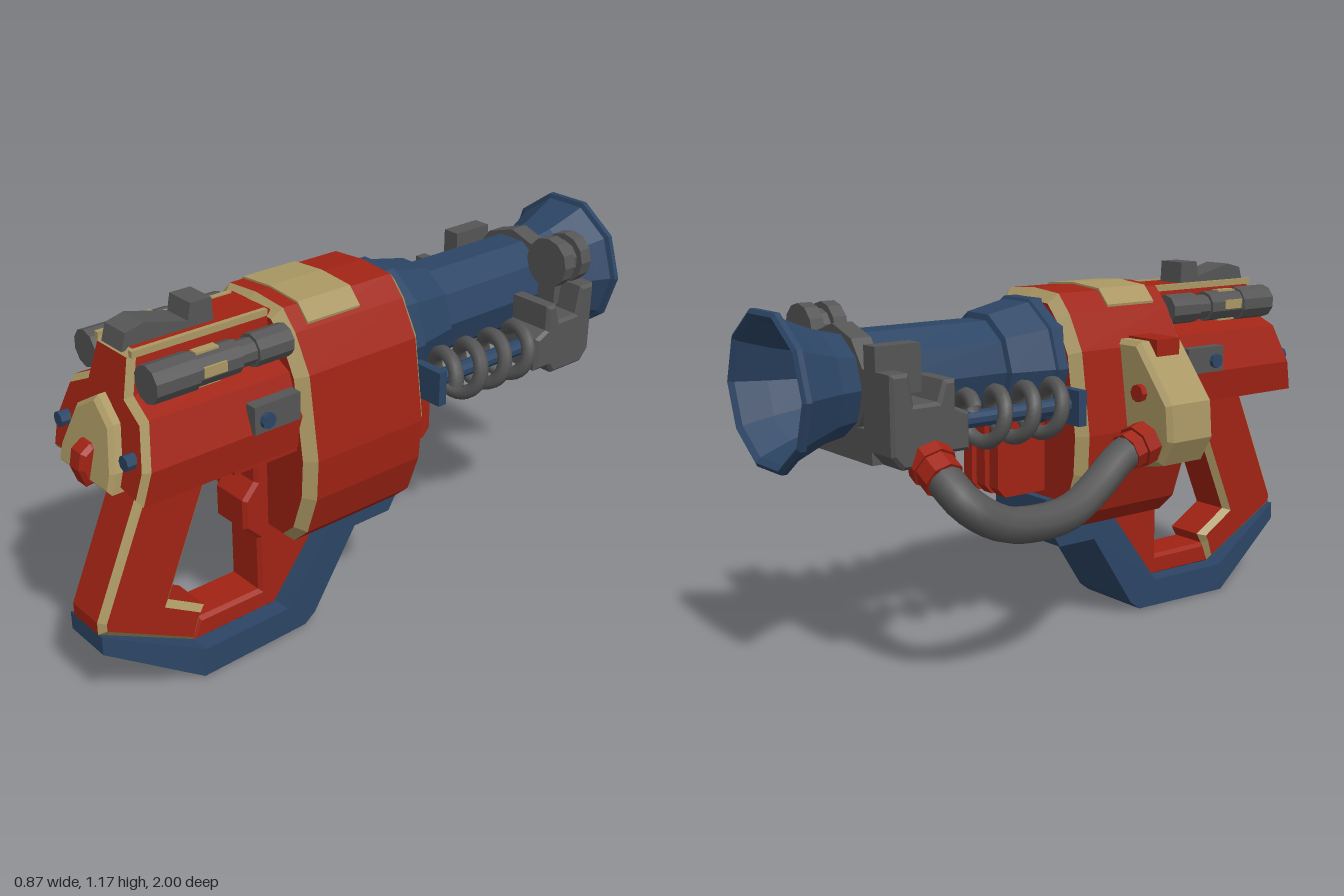
import * as THREE from 'three';

const mat = (color, flat = true) => new THREE.MeshStandardMaterial({ color, flatShading: flat, side: THREE.DoubleSide });
const RED = mat(0xa02314), BLUE = mat(0x2c4565), CREAM = mat(0xaa9763), GREY = mat(0x555555);
const SMOOTH_GREY = mat(0x555555, false);

export function createModel() {
  const model = new THREE.Group();
  model.name = 'blaster';
  // The gun is symmetric about its own middle, which sits beside the origin
  const gun = new THREE.Group();
  gun.name = 'gun';
  gun.position.x = 0.082;
  model.add(gun);

  const add = (name, geo, material, x = 0, y = 0, z = 0) => {
    const m = new THREE.Mesh(geo, material);
    m.name = name;
    m.position.set(x, y, z);
    gun.add(m);
    return m;
  };
  const box = (name, material, w, h, d, x, y, z) => add(name, new THREE.BoxGeometry(w, h, d), material, x, y, z);
  // Cylinder along z or x
  const rod = (name, material, r, len, x, y, z, axis = 'z', sides = 10) => {
    const g = new THREE.CylinderGeometry(r, r, len, sides);
    if (axis === 'z') g.rotateX(Math.PI / 2); else g.rotateZ(Math.PI / 2);
    return add(name, g, material, x, y, z);
  };
  // Extrusion centred on its depth; a bevel keeps the given outline
  const extrude = (pts, depth, bevel = 0) => {
    const shape = new THREE.Shape(pts.map(p => new THREE.Vector2(p[0], p[1])));
    const g = new THREE.ExtrudeGeometry(shape, {
      depth: depth - 2 * bevel, bevelEnabled: bevel > 0, bevelThickness: bevel,
      bevelSize: bevel, bevelOffset: -bevel, bevelSegments: 1,
    });
    return g.translate(0, 0, bevel - depth / 2);
  };
  // Profile drawn as [z, y], extruded across x
  const side = (pts, width, bevel) => extrude(pts, width, bevel).rotateY(-Math.PI / 2);
  // Half profile [x, y] mirrored to a closed outline
  const mirror = half => [...half, ...half.filter(p => p[0] > 0).reverse().map(p => [-p[0], p[1]])];
  // Extrusion whose sloping bevel faces become a cream trim
  const trimmed = (name, geo, axis, place = g => g) => {
    const p = geo.attributes.position.array, n = geo.attributes.normal.array;
    const parts = { body: [], trim: [] };
    for (let i = 0; i < p.length; i += 9) {
      const a = Math.abs(n[i + axis]);
      parts[a > 0.15 && a < 0.95 ? 'trim' : 'body'].push(...p.slice(i, i + 9));
    }
    for (const key of ['body', 'trim']) {
      const g = new THREE.BufferGeometry();
      g.setAttribute('position', new THREE.Float32BufferAttribute(parts[key], 3));
      place(g);
      g.computeVertexNormals();
      add(key === 'body' ? name : name + 'Trim', g, key === 'body' ? RED : CREAM);
    }
  };
  // Lean the rear end forward towards the top
  const leanRear = g => {
    const p = g.attributes.position;
    for (let i = 0; i < p.count; i++)
      if (p.getZ(i) > 0.6) p.setZ(i, p.getZ(i) - 0.25 * (p.getY(i) - 0.74));
    g.computeVertexNormals();
    return g;
  };

  // Main drum body with cream edge trim and top panel
  trimmed('drumBody', extrude(mirror([[0, 0.36], [0.16, 0.36], [0.225, 0.42], [0.27, 0.55], [0.278, 0.68],
    [0.24, 0.94], [0.18, 1.05], [0.125, 1.11], [0, 1.12]]), 0.47, 0.032).translate(0, 0, 0.157), 2);
  add('topPanel', extrude(mirror([[0, 1], [0.16, 1.0], [0.172, 1.068], [0.127, 1.116], [0, 1.126]]), 0.195), CREAM, 0, 0, 0.212);

  // Rear housing with ridge and shoulders
  trimmed('rearHousing', extrude(mirror([[0, 0.74], [0.225, 0.72], [0.235, 0.82], [0.19, 0.945], [0.105, 0.985],
    [0.088, 1.1], [0, 1.1]]), 0.57, 0.018).translate(0, 0, 0.645), 2, leanRear);
  box('housingFloor', RED, 0.44, 0.06, 0.23, 0, 0.735, 0.5);
  box('housingLip', CREAM, 0.2, 0.02, 0.25, 0, 0.732, 0.8);
  add('rearPlate', leanRear(extrude(mirror([[0, 0.73], [0.133, 0.73], [0.133, 0.79], [0.09, 0.91], [0, 0.965]]), 0.07, 0.012)
    .translate(0, 0, 0.93)), CREAM);
  add('rearCatch', side([[0.93, 0.72], [0.97, 0.715], [0.99, 0.77], [0.98, 0.82], [0.95, 0.84], [0.92, 0.84]], 0.07, 0.012), RED);
  add('sight', side([[0.845, 1.09], [0.83, 1.14], [0.77, 1.155], [0.69, 1.135], [0.63, 1.12], [0.62, 1.17], [0.55, 1.17], [0.545, 1.09]], 0.1), GREY);

  for (const s of [-1, 1]) {
    // Canisters on the shoulders
    const cx = s * 0.152, cy = 1.03;
    rod('canisterCap', GREY, 0.056, 0.14, cx, cy, 0.77);
    rod('canisterMiddle', GREY, 0.05, 0.15, cx, cy, 0.63);
    rod('canisterNeck', GREY, 0.04, 0.08, cx, cy, 0.53);
    rod('canisterBase', GREY, 0.05, 0.12, cx, cy, 0.44);
    box('canisterWindow', CREAM, 0.104, 0.03, 0.075, cx, cy + 0.005, 0.65);
    box('canisterWindow', CREAM, 0.03, 0.104, 0.075, cx, cy, 0.65);
    box('ridgeTrim', CREAM, 0.016, 0.02, 0.45, s * 0.084, 1.094, 0.615);
    // Side plates and bolts
    box('sidePlate', GREY, 0.04, 0.085, 0.16, s * 0.228, 0.865, 0.48);
    rod('sideBolt', BLUE, 0.024, 0.03, s * 0.247, 0.86, 0.52, 'x', 8);
    rod('rearBolt', BLUE, 0.023, 0.05, s * 0.168, 0.835, 0.91, 'z', 8);
  }

  // Grip, guard, trigger and base
  trimmed('grip', side([[0.8, 0.76], [1, 0.3], [1, 0.26], [0.68, 0.09], [0.655, 0.165], [0.635, 0.2], [0.76, 0.275],
    [0.57, 0.72], [0.57, 0.76]], 0.17, 0.02), 0);
  add('triggerGuard', side([[0.69, 0.09], [0.37, 0.09], [0.15, 0.38], [0.37, 0.4], [0.37, 0.73], [0.435, 0.73], [0.435, 0.55],
    [0.48, 0.5], [0.48, 0.4], [0.43, 0.35], [0.43, 0.165], [0.66, 0.165]], 0.15, 0.012), RED);
  add('trigger', side([[0.6, 0.72], [0.59, 0.63], [0.53, 0.58], [0.51, 0.72]], 0.06), RED);
  const base = side([[1, 0.26], [1, 0.2], [0.69, 0], [0.3, 0.01], [0.26, 0.04], [0.095, 0.295], [-0.05, 0.295], [-0.105, 0.385],
    [-0.105, 0.46], [-0.07, 0.46], [-0.07, 0.37], [0.17, 0.37], [0.37, 0.1], [0.68, 0.095]], 0.27);
  const bp = base.attributes.position;
  for (let i = 0; i < bp.count; i++) if (bp.getZ(i) > 0.9) bp.setX(i, bp.getX(i) * 0.63); // narrow heel
  add('base', base, BLUE);

  // Ribbed block under the barrel
  box('ribCore', RED, 0.17, 0.2, 0.14, 0, 0.6, -0.12);
  for (const x of [-0.07, 0, 0.07]) add('rib', side([[-0.03, 0.48], [-0.235, 0.48], [-0.262, 0.51], [-0.262, 0.72], [-0.03, 0.72]], 0.045), RED, x);

  // Flared barrel, as [radius, distance behind the origin]
  const barrel = [[0, 0.06], [0.215, 0.06], [0.215, 0.115], [0.205, 0.12], [0.175, 0.265], [0.155, 0.27], [0.155, 0.77], [0.168, 0.84],
    [0.2, 0.92], [0.222, 0.97], [0.238, 0.975], [0.238, 0.992], [0.225, 1], [0.21, 0.985], [0.17, 0.9], [0.13, 0.78], [0, 0.76]];
  add('barrel', new THREE.LatheGeometry(barrel.map(p => new THREE.Vector2(p[0], p[1])), 10, Math.PI / 10).rotateX(-Math.PI / 2), BLUE, 0, 0.888, 0);
  box('springMount', BLUE, 0.62, 0.11, 0.03, 0, 0.78, -0.1);

  // Recoil springs on guide rods, and the clamp that holds them
  class Helix extends THREE.Curve {
    getPoint(t, out = new THREE.Vector3()) {
      const a = t * Math.PI * 2 * 3.4;
      return out.set(Math.cos(a) * 0.072, Math.sin(a) * 0.072, -0.14 - 0.36 * t);
    }
  }
  const coil = new THREE.TubeGeometry(new Helix(), 90, 0.023, 8);
  for (const s of [-1, 1]) {
    add('spring', coil, SMOOTH_GREY, s * 0.252, 0.785, 0);
    rod('guideRod', BLUE, 0.026, 0.46, s * 0.252, 0.785, -0.32);
    add('clampSide', side([[-0.515, 0.71], [-0.515, 0.82], [-0.56, 0.84], [-0.56, 0.92], [-0.6, 0.92], [-0.62, 0.86], [-0.7, 0.86],
      [-0.715, 0.95], [-0.775, 0.95], [-0.775, 0.72], [-0.74, 0.68], [-0.6, 0.68], [-0.58, 0.71]], 0.16, 0.01), GREY, s * 0.23);
  }
  rod('clampRing', GREY, 0.175, 0.065, 0, 0.888, -0.742);
  box('clampBridge', GREY, 0.4, 0.1, 0.16, 0, 0.73, -0.695);
  box('clampPlate', GREY, 0.06, 0.14, 0.15, -0.2, 0.95, -0.7);
  rod('rollerCore', GREY, 0.062, 0.12, 0.21, 1.02, -0.71);
  for (const z of [-0.67, -0.748]) rod('rollerDisc', GREY, 0.082, 0.045, 0.21, 1.02, z, 'z', 12);
  box('rollerArm', GREY, 0.07, 0.16, 0.06, 0.19, 0.95, -0.71);

  // Side tank with red fittings
  add('sideTank', extrude([[-0.32, 0.965], [-0.2, 0.965], [-0.2, 0.57], [-0.27, 0.56], [-0.43, 0.59], [-0.475, 0.67], [-0.465, 0.785]],
    0.19, 0.015), CREAM, 0, 0, 0.205);
  box('tankBand', RED, 0.13, 0.06, 0.095, -0.292, 0.942, 0.205);
  rod('tankBolt', RED, 0.028, 0.03, -0.34, 0.81, 0.105, 'z', 8);

  // Hose from tank to clamp
  const path = new THREE.CatmullRomCurve3([[-0.37, 0.66, 0.1], [-0.375, 0.63, 0], [-0.4, 0.56, -0.12], [-0.435, 0.51, -0.25],
    [-0.46, 0.505, -0.4], [-0.468, 0.53, -0.53], [-0.44, 0.59, -0.62], [-0.37, 0.65, -0.645], [-0.28, 0.7, -0.645]]
    .map(p => new THREE.Vector3(...p)));
  add('hose', new THREE.TubeGeometry(path, 28, 0.054, 10), SMOOTH_GREY);
  const collar = (name, t, r, len) => {
    const m = add(name, new THREE.CylinderGeometry(r, r, len, 8), RED, ...path.getPointAt(t).toArray());
    m.quaternion.setFromUnitVectors(new THREE.Vector3(0, 1, 0), path.getTangentAt(t));
  };
  collar('tankCollar', 0.02, 0.07, 0.05);
  collar('tankSleeve', 0.06, 0.06, 0.05);
  collar('clampSleeve', 0.93, 0.062, 0.07);
  collar('clampCollar', 0.97, 0.07, 0.04);

  return model;
}
